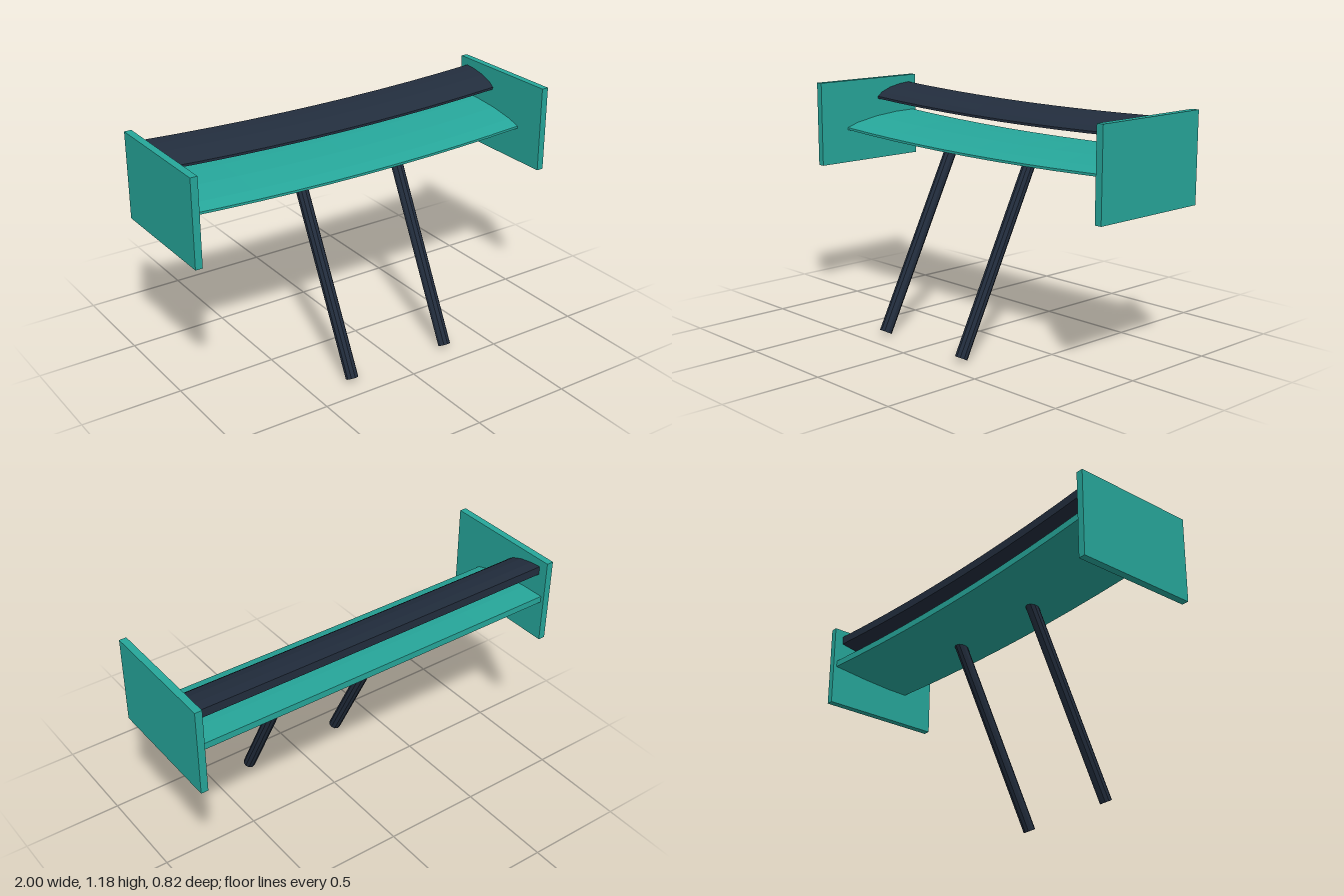
import * as THREE from 'three';

const HALF_SPAN = 0.965;

// Lofted wing blade: a z/y section swept across x, bowed up and back towards the tips
function blade(name, section, material) {
  const shape = new THREE.Shape(section.map(([z, y]) => new THREE.Vector2(z, y)));
  const geo = new THREE.ExtrudeGeometry(shape, { depth: HALF_SPAN * 2, steps: 10, bevelEnabled: false });
  geo.rotateY(-Math.PI / 2);
  geo.translate(HALF_SPAN, 0, 0);
  const pos = geo.attributes.position;
  for (let i = 0; i < pos.count; i++) {
    const bow = 0.02 * (1 - (pos.getX(i) / HALF_SPAN) ** 2);
    pos.setY(i, pos.getY(i) - bow);
    pos.setZ(i, pos.getZ(i) + bow);
  }
  geo.computeVertexNormals();
  const mesh = new THREE.Mesh(geo, material);
  mesh.name = name;
  return mesh;
}

// Straight round strut between two points
function strut(name, from, to, radius, material) {
  const dir = to.clone().sub(from);
  const mesh = new THREE.Mesh(new THREE.CylinderGeometry(radius, radius, dir.length(), 10), material);
  mesh.position.copy(from).add(to).multiplyScalar(0.5);
  mesh.quaternion.setFromUnitVectors(new THREE.Vector3(0, 1, 0), dir.normalize());
  mesh.name = name;
  return mesh;
}

export function createModel() {
  const teal = new THREE.MeshStandardMaterial({ name: 'teal', color: 0x26a69a, flatShading: true });
  const navy = new THREE.MeshStandardMaterial({ name: 'dark navy', color: 0x222d3d, flatShading: true });

  const model = new THREE.Group();
  model.name = 'rearWing';

  // Main plane
  model.add(blade('mainPlane', [
    [0.065, 0.92], [0.065, 0.932], [0, 0.953], [-0.13, 0.976], [-0.27, 0.988],
    [-0.39, 0.99], [-0.39, 0.957], [-0.2, 0.935], [-0.05, 0.923],
  ], teal));

  // Upper flap
  model.add(blade('upperFlap', [
    [-0.143, 1.07], [-0.143, 1.082], [-0.172, 1.104], [-0.23, 1.126], [-0.3, 1.14],
    [-0.36, 1.145], [-0.36, 1.102], [-0.26, 1.083], [-0.19, 1.073],
  ], navy));

  // Mirrored end plates and mounting struts
  for (const [side, s] of [['left', 1], ['right', -1]]) {
    const plate = new THREE.Mesh(new THREE.BoxGeometry(0.036, 0.438, 0.643), teal);
    plate.position.set(s * 0.982, 0.964, -0.087);
    plate.name = side + 'EndPlate';
    model.add(plate);

    model.add(strut(side + 'Strut',
      new THREE.Vector3(s * 0.278, 0.016, 0.38),
      new THREE.Vector3(s * 0.278, 0.925, -0.082), 0.031, navy));
  }
  return model;
}
